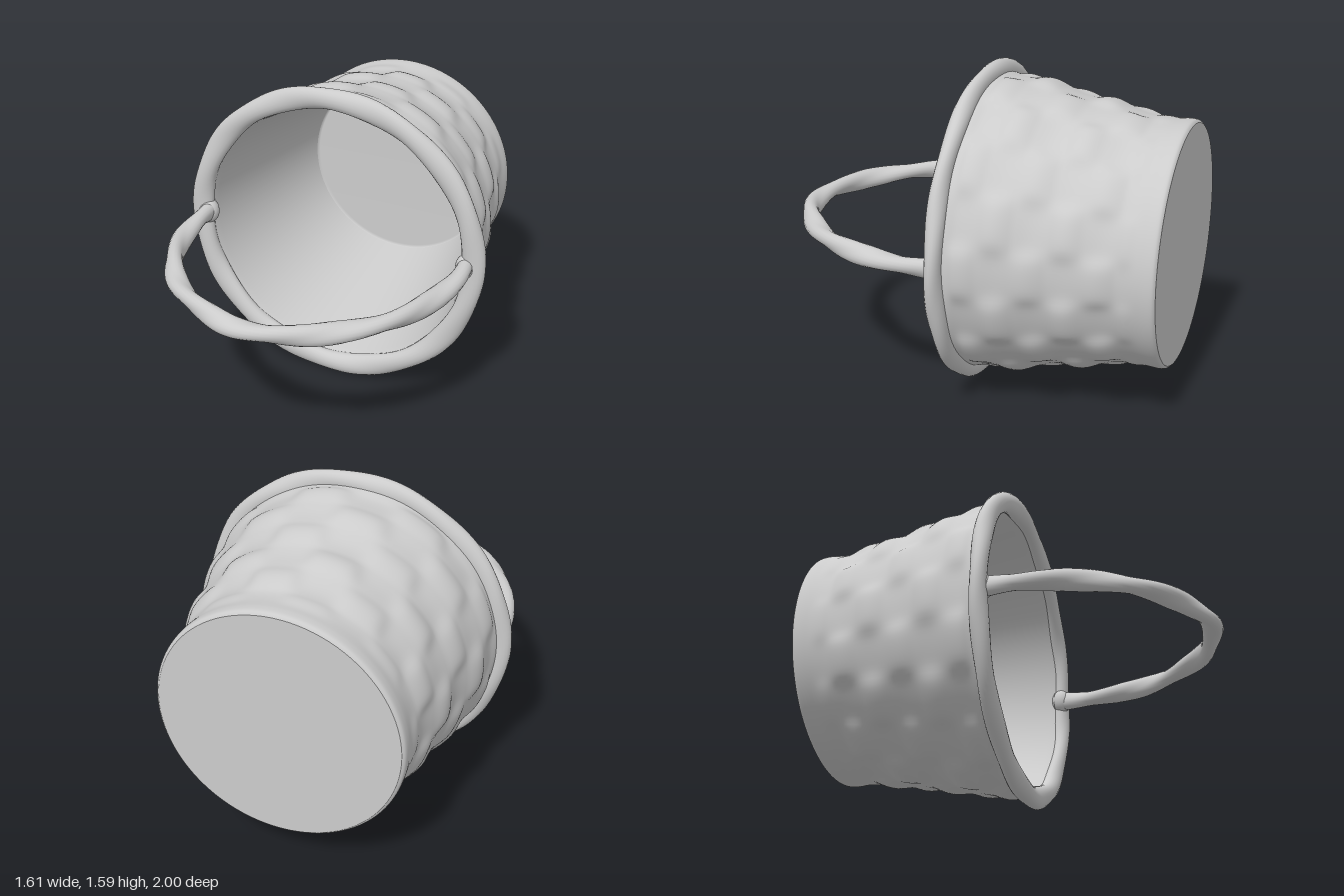
import * as THREE from 'three';
import { mergeVertices } from 'three/addons/utils/BufferGeometryUtils.js';

const AXIS_Y = 0.805;
const material = new THREE.MeshStandardMaterial({ color: 0xcccccc });

// Moves every vertex by a rule, then welds seams and smooths normals
function reshape(geometry, rule) {
  geometry.deleteAttribute('uv');
  geometry.deleteAttribute('normal');
  const pos = geometry.attributes.position;
  const v = new THREE.Vector3();
  for (let i = 0; i < pos.count; i++) {
    v.fromBufferAttribute(pos, i);
    rule(v, i);
    pos.setXYZ(i, v.x, v.y, v.z);
  }
  const welded = mergeVertices(geometry, 1e-5);
  welded.computeVertexNormals();
  return welded;
}

function addPart(group, name, geometry) {
  const mesh = new THREE.Mesh(geometry, material);
  mesh.name = name;
  group.add(mesh);
}

const profile = (pairs) => pairs.map(([r, y]) => new THREE.Vector2(r, y));

// Raised staggered strands, fading out toward the base band
function weave(v) {
  const row = Math.floor((-v.y - 0.04) / 0.155);
  const f = (-v.y - 0.04) / 0.155 - row;
  const angle = Math.atan2(v.z, v.x);
  const fade = THREE.MathUtils.smoothstep(v.y, -0.92, -0.78) * THREE.MathUtils.smoothstep(-v.y, 0.04, 0.1);
  const strand = Math.tanh(2 * Math.cos(9 * angle + row * Math.PI));
  const d = 0.013 * fade * Math.sin(Math.PI * f) * (strand + 0.4);
  const s = 1 + d / Math.hypot(v.x, v.z);
  v.x *= s;
  v.z *= s;
}

export function createModel() {
  const model = new THREE.Group();
  model.name = 'basket';

  // Basket body, turned so its opening faces +z
  const body = new THREE.Group();
  body.name = 'body';
  body.rotation.x = Math.PI / 2;
  body.position.y = AXIS_Y;
  model.add(body);

  // Woven outer wall
  const wallCurve = new THREE.SplineCurve(profile([
    [0.585, -1], [0.6, -0.985], [0.603, -0.95], [0.598, -0.88], [0.606, -0.78], [0.64, -0.63],
    [0.663, -0.47], [0.7, -0.32], [0.722, -0.2], [0.733, -0.08], [0.75, -0.01]]));
  addPart(body, 'wovenWall', reshape(new THREE.LatheGeometry(wallCurve.getPoints(90), 180), weave));

  // Flat underside
  addPart(body, 'base', new THREE.LatheGeometry(profile([[0, -1], [0.586, -1]]), 96));

  // Smooth lining and floor
  addPart(body, 'lining', new THREE.LatheGeometry(profile([[0.705, 0], [0.685, -0.06], [0.515, -0.92]]), 96));
  addPart(body, 'floor', new THREE.LatheGeometry(profile([[0.515, -0.92], [0.505, -0.935], [0, -0.935]]), 96));

  // Rim with a slow twist running around it
  const rim = new THREE.TorusGeometry(0.745, 0.05, 20, 160).rotateX(Math.PI / 2);
  addPart(body, 'rim', reshape(rim, (v) => {
    const angle = Math.atan2(v.z, v.x);
    const r = Math.hypot(v.x, v.z) - 0.745;
    const around = Math.atan2(v.y, r);
    const k = 1 + 0.07 * Math.cos(2 * around - 10 * angle);
    const s = (0.745 + r * 1.12 * k) / (0.745 + r);
    v.x *= s;
    v.z *= s;
    v.y = v.y * 0.84 * k - 0.006;
  }));

  // Twisted loop handle
  const path = new THREE.CatmullRomCurve3([
    [-0.705, -0.03], [-0.707, 0.16], [-0.66, 0.4], [-0.575, 0.59], [-0.45, 0.74], [-0.25, 0.875],
    [-0.04, 0.945], [0.24, 0.885], [0.44, 0.74], [0.59, 0.56], [0.665, 0.38], [0.707, 0.16], [0.705, -0.03],
  ].map(([x, z]) => new THREE.Vector3(x, AXIS_Y, z)));
  const rings = 160, sides = 20;
  const handle = new THREE.TubeGeometry(path, rings, 0.046, sides);
  const centre = new THREE.Vector3();
  addPart(model, 'handle', reshape(handle, (v, i) => {
    const t = Math.floor(i / (sides + 1)) / rings;
    const a = (i % (sides + 1)) / sides * Math.PI * 2;
    path.getPointAt(t, centre);
    v.sub(centre).multiplyScalar(1 + 0.16 * Math.cos(2 * a - t * Math.PI * 10)).add(centre);
  }));

  // Soft swellings where the handle joins the rim
  for (const side of [-1, 1]) {
    const joint = new THREE.SphereGeometry(1, 24, 16).scale(0.055, 0.065, 0.05);
    joint.translate(side * 0.71, AXIS_Y, 0.0);
    addPart(model, side > 0 ? 'leftHandleJoint' : 'rightHandleJoint', joint);
  }
  return model;
}
